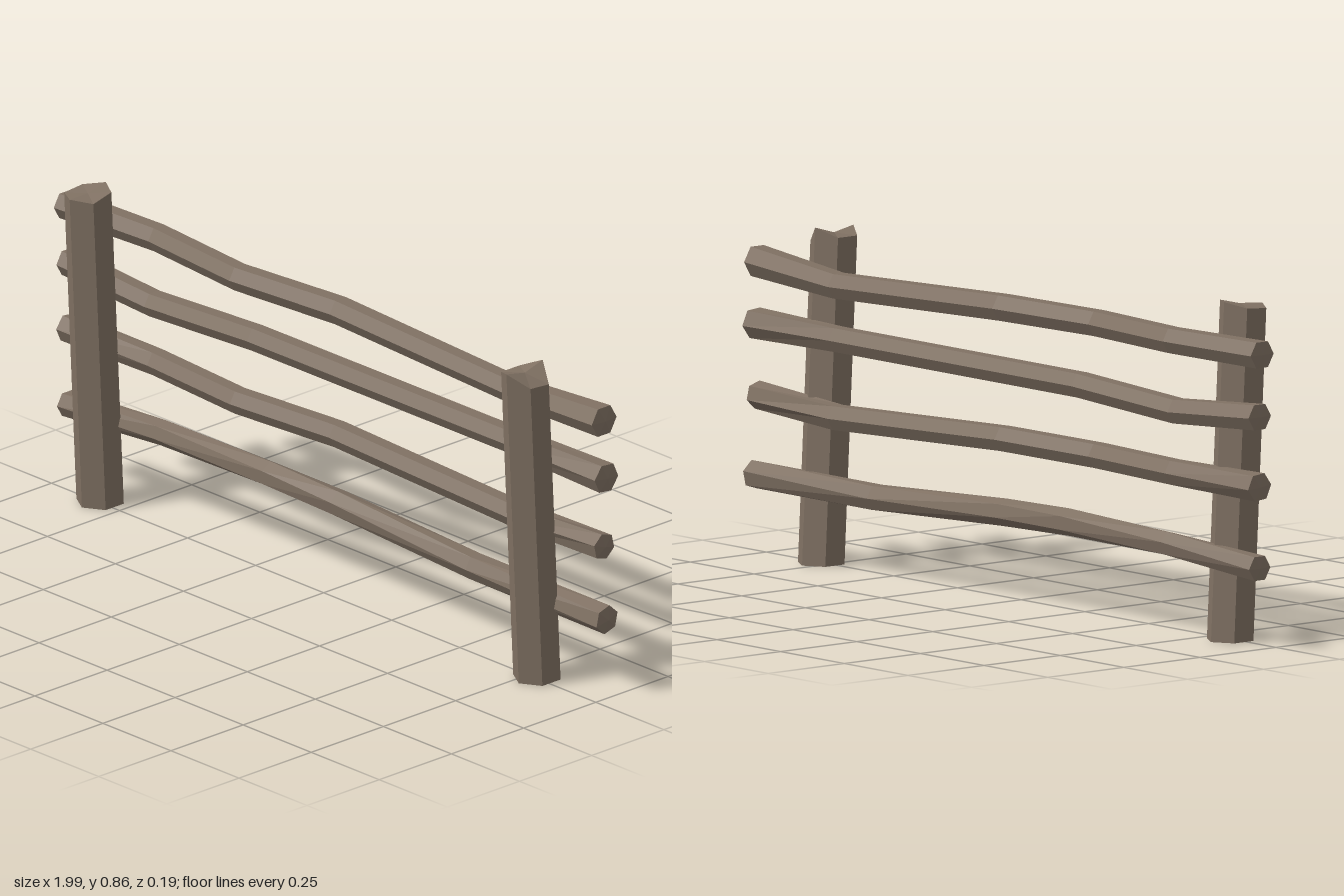
import * as THREE from 'three';

const V = (x, y, z) => new THREE.Vector3(x, y, z);

// Skin a list of closed rings and close both ends with fans around an apex
function loft(rings, startApex, endApex) {
  const pos = [];
  const tri = (...pts) => pts.forEach(p => pos.push(p.x, p.y, p.z));
  const n = rings[0].length, last = rings[rings.length - 1];
  for (let j = 0; j < n; j++) {
    const k = (j + 1) % n;
    for (let i = 0; i < rings.length - 1; i++) {
      const a = rings[i], b = rings[i + 1];
      tri(a[j], b[j], b[k]);
      tri(a[j], b[k], a[k]);
    }
    tri(startApex, rings[0][j], rings[0][k]);
    tri(endApex, last[k], last[j]);
  }
  const g = new THREE.BufferGeometry();
  g.setAttribute('position', new THREE.Float32BufferAttribute(pos, 3));
  g.computeVertexNormals();
  return g;
}

const SIDES = [0, 1, 2, 3, 4, 5];

// Six-sided post leaning forward, with a roughly chopped top
function postGeometry(x, topHeights, topCentre) {
  const zAt = y => -0.008 + y * 0.05;
  const ring = yOf => SIDES.map(j => {
    const a = j * Math.PI / 3, y = yOf(j);
    return V(x - Math.sin(a) * 0.062, y, zAt(y) + Math.cos(a) * 0.063);
  });
  return loft([ring(() => 0), ring(j => topHeights[j])],
    V(x, 0, zAt(0)), V(x, topCentre, zAt(topCentre)));
}

// Six-sided rail through stations of [x, y, z, radius, twist]
function railGeometry(stations) {
  const rings = stations.map(([x, y, z, r, twist]) => SIDES.map(j => {
    const a = j * Math.PI / 3 + twist;
    return V(x, y + Math.sin(a) * r, z + Math.cos(a) * r);
  }));
  const s = stations[0], e = stations[stations.length - 1];
  return loft(rings, V(s[0] - 0.004, s[1], s[2]), V(e[0] + 0.006, e[1], e[2]));
}

export function createModel() {
  const group = new THREE.Group();
  const wood = new THREE.MeshStandardMaterial({ color: 0x807163 });
  wood.name = 'weatheredWood';
  const add = (name, geometry) => {
    const mesh = new THREE.Mesh(geometry, wood);
    mesh.name = name;
    group.add(mesh);
  };

  // Posts
  add('rightPost', postGeometry(-0.83, [0.85, 0.845, 0.85, 0.863, 0.86, 0.845], 0.85));
  add('leftPost', postGeometry(0.775, [0.853, 0.835, 0.835, 0.858, 0.815, 0.82], 0.84));

  // Rails, top to bottom
  add('topRail', railGeometry([
    [-0.996, 0.75, -0.042, 0.038, 0], [-0.67, 0.75, -0.06, 0.036, 0],
    [-0.34, 0.75, -0.029, 0.036, 0], [0, 0.752, -0.058, 0.037, 0],
    [0.65, 0.728, -0.056, 0.036, 0], [0.986, 0.75, -0.042, 0.043, 0],
  ]));
  add('upperMiddleRail', railGeometry([
    [-0.996, 0.592, -0.05, 0.037, 0], [-0.68, 0.57, -0.054, 0.035, 0],
    [-0.3, 0.59, -0.052, 0.035, 0], [0.65, 0.591, -0.055, 0.035, 0],
    [0.986, 0.592, -0.05, 0.041, 0.1],
  ]));
  add('lowerMiddleRail', railGeometry([
    [-0.996, 0.413, -0.05, 0.038, 0.1], [-0.67, 0.413, -0.055, 0.035, 0],
    [-0.34, 0.413, -0.03, 0.035, 0], [0, 0.417, -0.053, 0.035, 0],
    [0.65, 0.392, -0.058, 0.035, 0], [0.986, 0.408, -0.042, 0.036, 0.3],
  ]));
  add('bottomRail', railGeometry([
    [-0.996, 0.206, -0.05, 0.035, 1.05], [-0.65, 0.227, -0.055, 0.033, 0.8],
    [-0.25, 0.234, -0.052, 0.035, 0.5], [0, 0.229, -0.055, 0.035, 0.3],
    [0.5, 0.206, -0.054, 0.035, 0], [0.986, 0.206, -0.052, 0.038, -0.3],
  ]));
  return group;
}
